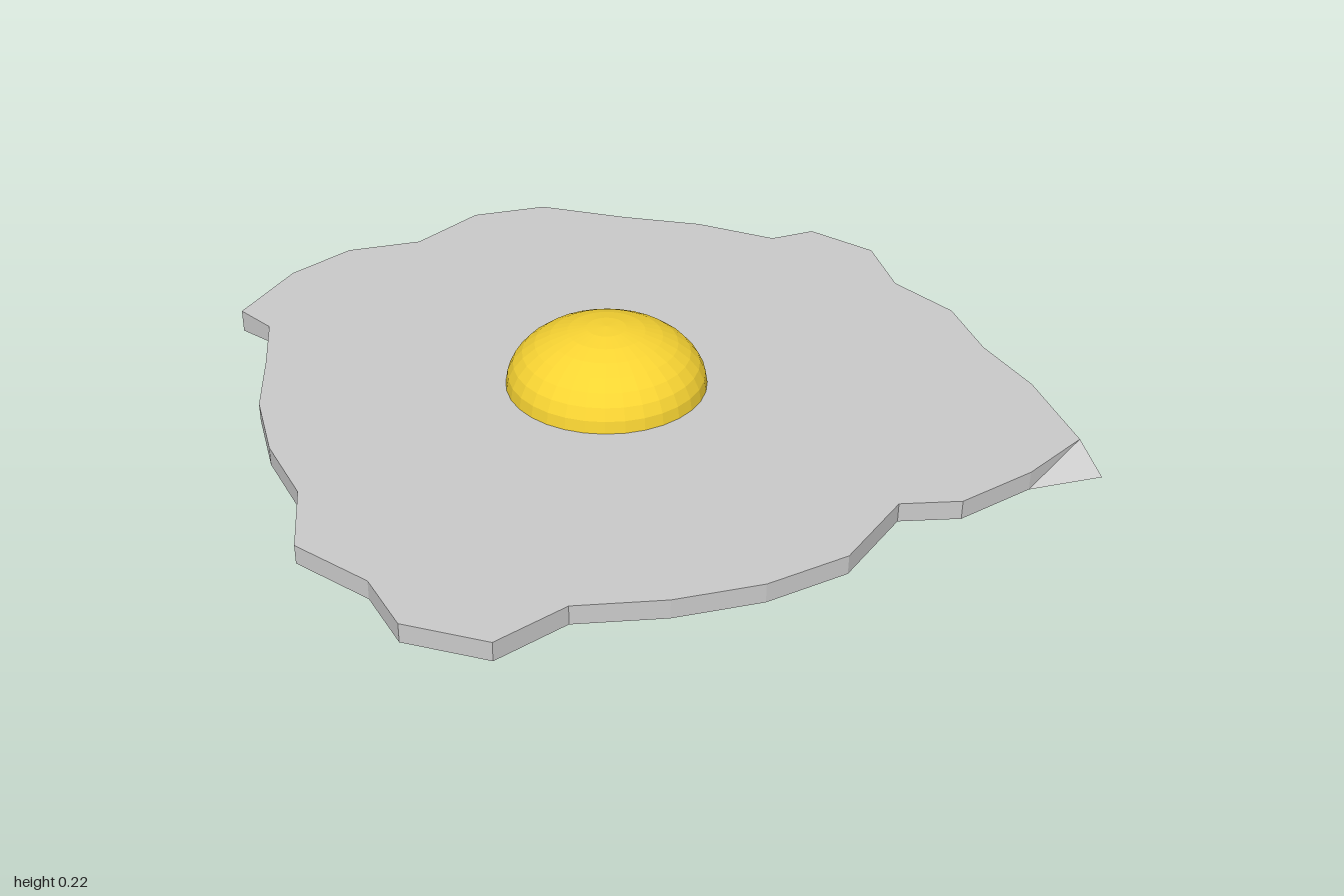
import * as THREE from 'three';

// Wavy rim as [x, z], going round from the back
const RIM = [
  [-0.06, -1], [0.15, -0.98], [0.35, -0.82], [0.54, -0.69], [0.7, -0.52], [0.83, -0.52], [0.93, -0.34], [0.89, -0.13],
  [0.95, 0.07], [0.92, 0.28], [0.93, 0.49], [0.93, 0.6], [0.89, 0.855], [0.7, 0.835], [0.49, 0.88], [0.35, 0.835],
  [0.15, 0.97], [-0.06, 0.995], [-0.27, 0.97], [-0.475, 0.91], [-0.66, 0.965], [-0.82, 0.835], [-0.84, 0.67], [-0.955, 0.485],
  [-0.9, 0.28], [-0.92, 0.07], [-0.9, -0.14], [-0.84, -0.34], [-0.79, -0.53], [-0.84, -0.645], [-0.66, -0.82], [-0.475, -0.905],
  [-0.27, -0.885],
];
const TOP = 0.06, BOTTOM = 0.012;
const SLOPED = { 11: [0.914, 0.595], 12: [0.89, 0.755] }; // upper rim pulled in at one corner
const SAGGING = 29; // lower rim point that touches the ground

function whiteGeometry() {
  const upper = RIM.map((p, i) => {
    const [x, z] = SLOPED[i] ?? p;
    return new THREE.Vector3(x, TOP, z);
  });
  const lower = RIM.map(([x, z], i) => new THREE.Vector3(x, i === SAGGING ? 0 : BOTTOM, z));
  const points = [];
  const face = (...corners) => corners.forEach((c) => points.push(c.x, c.y, c.z));
  const topCentre = new THREE.Vector3(0, TOP, 0), lowCentre = new THREE.Vector3(0, BOTTOM, 0);
  RIM.forEach((_, i) => {
    const j = (i + 1) % RIM.length;
    face(topCentre, upper[j], upper[i]);
    face(lowCentre, lower[i], lower[j]);
    face(upper[i], upper[j], lower[j]);
    face(upper[i], lower[j], lower[i]);
  });
  const geometry = new THREE.BufferGeometry();
  geometry.setAttribute('position', new THREE.Float32BufferAttribute(points, 3));
  geometry.computeVertexNormals();
  return geometry;
}

export function createModel() {
  const group = new THREE.Group();
  group.name = 'friedEgg';

  // Flat egg white
  const white = new THREE.Mesh(whiteGeometry(), new THREE.MeshStandardMaterial({ color: 0xcccccc, flatShading: true }));
  white.name = 'eggWhite';
  group.add(white);

  // Squashed half-dome yolk
  const yolk = new THREE.Mesh(
    new THREE.SphereGeometry(0.255, 32, 8, 0, Math.PI * 2, 0, Math.PI / 2),
    new THREE.MeshStandardMaterial({ color: 0xf8d433, flatShading: true }),
  );
  yolk.name = 'yolk';
  yolk.scale.y = 0.62;
  yolk.position.set(-0.06, TOP, 0.075);
  group.add(yolk);

  return group;
}
